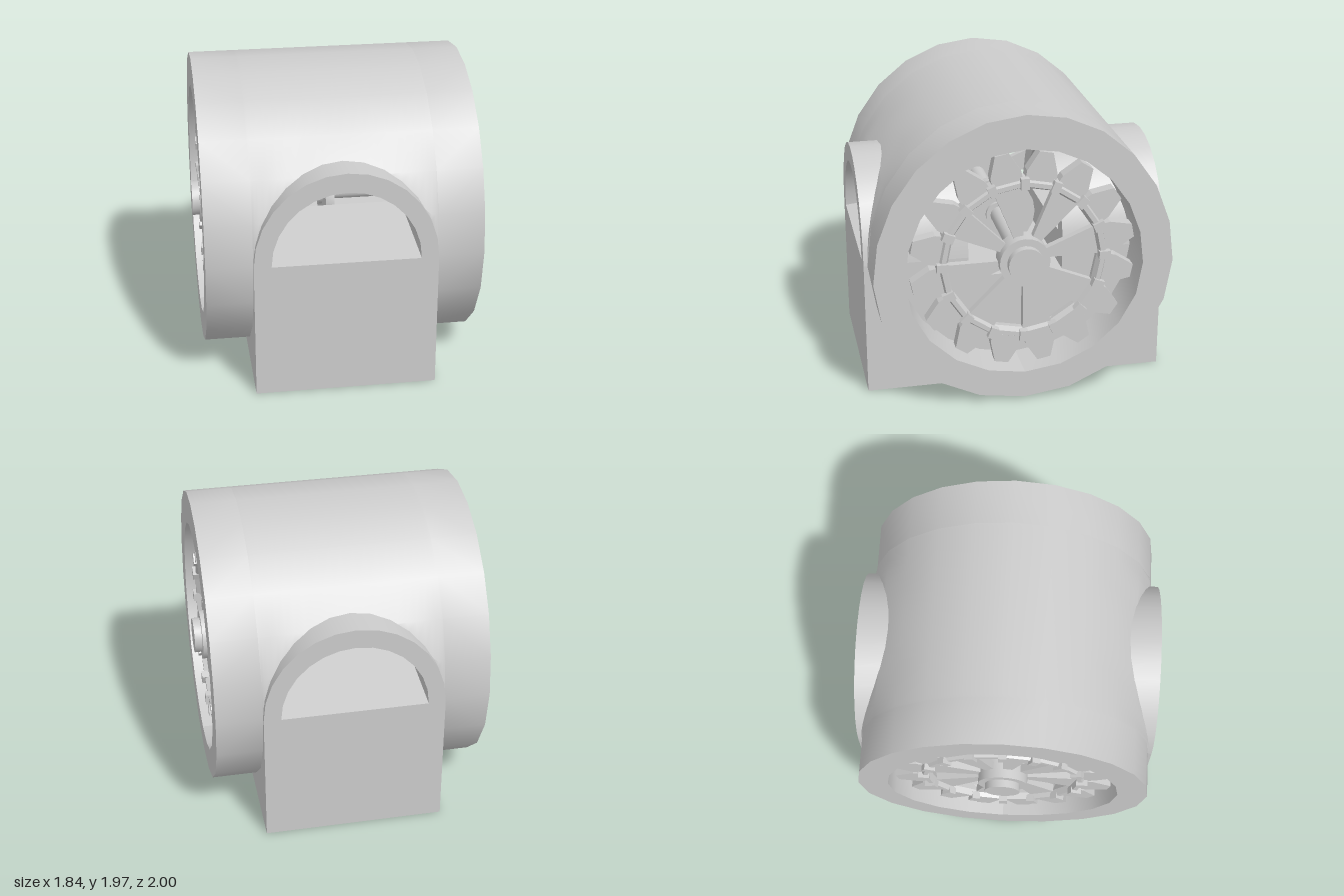
import * as THREE from 'three';
import { toCreasedNormals } from 'three/addons/utils/BufferGeometryUtils.js';

const mat = new THREE.MeshStandardMaterial({ color: 0xcccccc, side: THREE.DoubleSide });
const flat = new THREE.MeshStandardMaterial({ color: 0xcccccc, side: THREE.DoubleSide, flatShading: true });
const rad = THREE.MathUtils.degToRad;

const MID = 0.91;      // spring line of the arches
const AXLE_Y = 0.968;
const BOX = 0.59;      // half width of the base
const PIT = 0.315;     // half length of the wheel pit

function add(parent, name, geometry, material = mat) {
  const mesh = new THREE.Mesh(geometry, material);
  mesh.name = name;
  parent.add(mesh);
  return mesh;
}

// Surface through rows of points
function sheet(rows) {
  const n = rows[0].length, index = [];
  for (let i = 0; i < rows.length - 1; i++) {
    for (let j = 0; j < n - 1; j++) {
      const a = i * n + j, b = a + n;
      index.push(a, b, a + 1, b, b + 1, a + 1);
    }
  }
  const g = new THREE.BufferGeometry();
  g.setAttribute('position', new THREE.Float32BufferAttribute(rows.flat(2), 3));
  g.setIndex(index);
  g.computeVertexNormals();
  return g;
}

function shapeOf(points) {
  return new THREE.Shape(points.map(([x, y]) => new THREE.Vector2(x, y)));
}

// Drum section: half width, rise above and drop below the spring line
const OUTER = [0.975, 1.055, 0.9], INNER = [0.775, 0.832, 0.715];
const angles = [];
for (let a = -180; a < -90; a += 18) angles.push(rad(a));
for (let a = -90; a < 90; a += 15) angles.push(rad(a));
for (let a = 90; a <= 180; a += 18) angles.push(rad(a));

function drumRow(x, [w, up, down], limit = Math.PI) {
  return angles.map((a) => {
    const t = THREE.MathUtils.clamp(a, -limit, limit), c = Math.cos(t);
    return [x, MID + (c > 0 ? up : down) * c, w * Math.sin(t)];
  });
}

function buildDrum(root) {
  const drum = new THREE.Group();
  drum.name = 'drum';
  root.add(drum);
  for (const s of [-1, 1]) {
    for (const [name, p] of [['outerWall', OUTER], ['innerWall', INNER]]) {
      add(drum, name, sheet([drumRow(s * BOX, p), drumRow(s * 0.89, p)]));
    }
    add(drum, 'endRing', sheet([drumRow(s * 0.89, OUTER), drumRow(s * 0.89, INNER)]));
  }
  // Middle of the drum, cut away where the arches pass through
  for (const [name, p] of [['outerCrown', OUTER], ['innerCrown', INNER]]) {
    const rows = [];
    for (let i = 0; i <= 24; i++) {
      const a = Math.PI * i / 24;
      rows.push(drumRow(-BOX * Math.cos(a), p, Math.acos(0.6 * Math.sin(a) / p[1])));
    }
    add(drum, name, sheet(rows));
  }
}

function buildBase(root) {
  const base = new THREE.Group();
  base.name = 'base';
  root.add(base);
  // Arched tunnel mouths and the panels below them
  const arc = (w, h) => Array.from({ length: 15 }, (_, i) => {
    const a = Math.PI * i / 14;
    return [w * Math.cos(a), MID + h * Math.sin(a)];
  });
  const ring = shapeOf([...arc(BOX, 0.61), ...arc(0.478, 0.482).reverse()]);
  for (const s of [-1, 1]) {
    const g = new THREE.ExtrudeGeometry(ring, { depth: 1 - PIT, bevelEnabled: false });
    g.translate(0, 0, s > 0 ? PIT : -1);
    add(base, 'arch', toCreasedNormals(g, rad(35)));
    add(base, 'endPanel', new THREE.PlaneGeometry(2 * BOX, MID).translate(0, MID / 2, s));
  }
  // Side walls, notched at the pit
  const wall = shapeOf([[-1, 0], [1, 0], [1, MID], [PIT, MID], [PIT, 0.77],
    [-PIT, 0.77], [-PIT, MID], [-1, MID]]);
  for (const s of [-1, 1]) {
    add(base, 'sideWall', new THREE.ShapeGeometry(wall).rotateY(Math.PI / 2).translate(s * BOX, 0, 0));
  }
  // Ramps leading to the pit; the base stays open underneath
  const path = [[1, MID], [PIT, 1], [PIT, 0.77], [-PIT, 0.77], [-PIT, 1], [-1, MID]];
  const floor = sheet([-0.58, 0.58].map((x) => path.map(([z, y]) => [x, y, z])));
  add(base, 'rampFloor', floor, flat);
}

function buildWheel(root, side) {
  const wheel = new THREE.Group();
  wheel.name = side > 0 ? 'leftWheel' : 'rightWheel';
  wheel.position.y = AXLE_Y;
  wheel.rotation.y = Math.PI / 2;
  wheel.scale.z = side;
  root.add(wheel);
  const disc = (r, z0, z1, n = 24) =>
    new THREE.CylinderGeometry(r, r, z1 - z0, n).rotateX(Math.PI / 2).translate(0, 0, (z0 + z1) / 2);

  add(wheel, 'hub', toCreasedNormals(disc(0.165, 0.74, 0.87), rad(35)));
  add(wheel, 'hubCap', toCreasedNormals(disc(0.117, 0.85, 0.92), rad(35)));

  // Faceted rim with bevelled edges
  const section = [[0.5, 0.74], [0.56, 0.74], [0.56, 0.8], [0.54, 0.84], [0.51, 0.84], [0.49, 0.8], [0.5, 0.74]];
  const rim = new THREE.LatheGeometry(section.map(([r, z]) => new THREE.Vector2(r, z)), 16);
  add(wheel, 'rim', rim.rotateX(Math.PI / 2), flat);

  // Wedge spokes
  const w = rad(22.5);
  const spoke = shapeOf([[0.14, 0], [0.52, 0], [0.52 * Math.cos(w), 0.52 * Math.sin(w)],
    [0.14 * Math.cos(w), 0.14 * Math.sin(w)]]);
  const spokeGeo = new THREE.ExtrudeGeometry(spoke, { depth: 0.05, bevelEnabled: false });
  for (let i = 0; i < 8; i++) {
    const m = add(wheel, 'spoke', spokeGeo, flat);
    m.position.z = 0.76;
    m.rotation.z = rad(90 + i * 45);
  }

  // Outer teeth between the rim blocks
  const tooth = shapeOf([[0.54, -0.1], [0.6, -0.1], [0.735, -0.045], [0.735, 0.045], [0.6, 0.1], [0.54, 0.1]]);
  const toothGeo = new THREE.ExtrudeGeometry(tooth, { depth: 0.08, bevelEnabled: false });
  const blockGeo = new THREE.BoxGeometry(0.075, 0.055, 0.1);
  for (let i = 0; i < 16; i++) {
    const t = add(wheel, 'tooth', toothGeo, flat);
    t.position.z = 0.74;
    t.rotation.z = rad((i + 0.5) * 22.5);
    const a = rad(i * 22.5);
    const b = add(wheel, 'rimBlock', blockGeo, flat);
    b.position.set(0.53 * Math.cos(a), 0.53 * Math.sin(a), 0.81);
    b.rotation.z = a;
  }
}

export function createModel() {
  const root = new THREE.Group();
  root.name = 'millHousing';
  buildDrum(root);
  buildBase(root);
  buildWheel(root, 1);
  buildWheel(root, -1);

  // Axle with a central disc and collar
  for (const [name, r, len] of [['axle', 0.06, 1.76], ['centreDisc', 0.257, 0.06], ['collar', 0.09, 0.11]]) {
    const g = new THREE.CylinderGeometry(r, r, len, 20).rotateZ(Math.PI / 2);
    add(root, name, toCreasedNormals(g, rad(35))).position.y = AXLE_Y;
  }
  return root;
}
